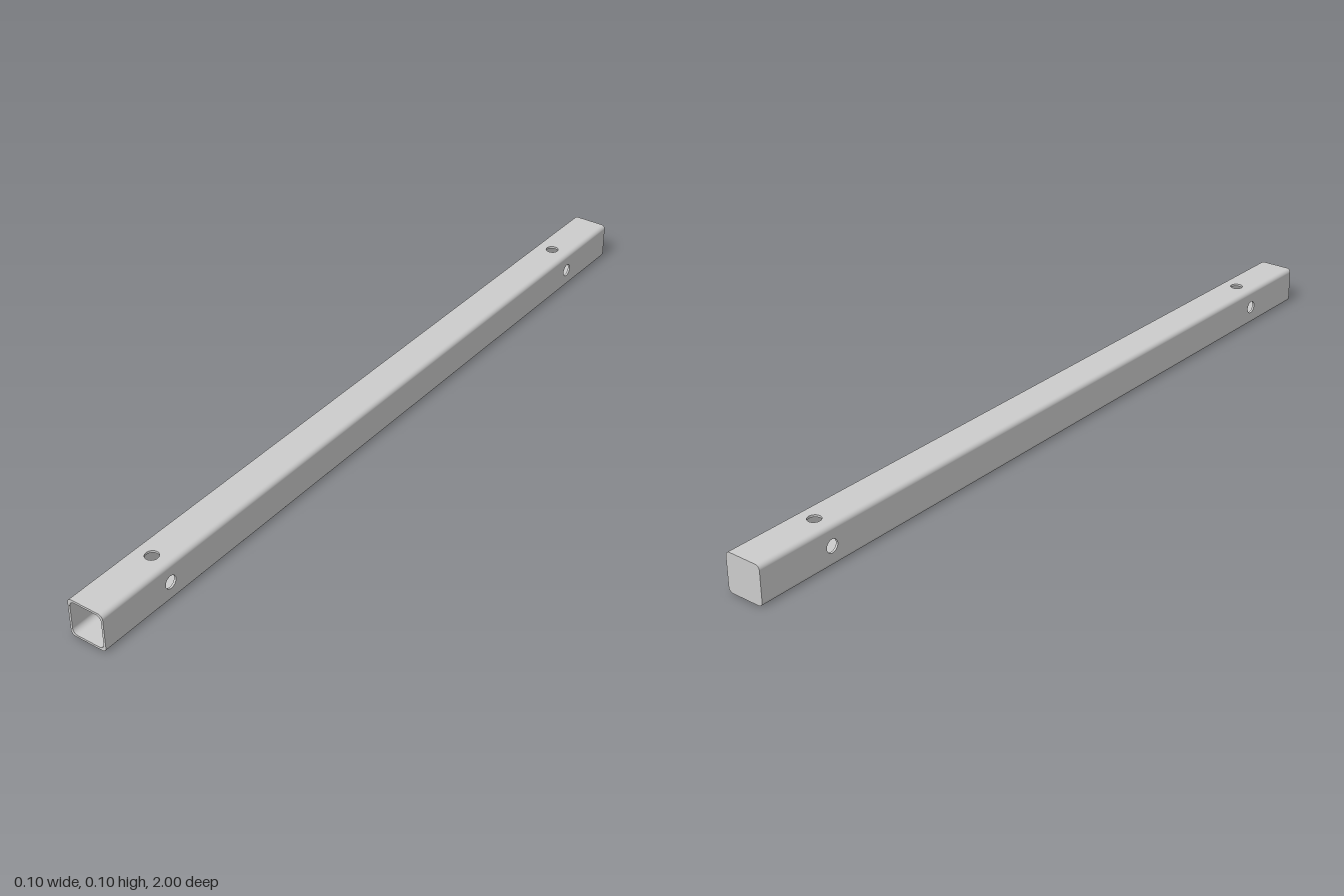
import * as THREE from 'three';

const HALF = 0.048, WALL = 0.0055, LENGTH = 2;
const OUTER_R = 0.011, INNER_R = 0.013;
const HOLE_R = 0.016, HOLE_Z = [-0.8, 0.8];
const INNER = HALF - WALL;

const material = new THREE.MeshStandardMaterial({ color: 0xcccccc, side: THREE.DoubleSide });

function add(parent, geometry, name) {
  const mesh = new THREE.Mesh(geometry, material);
  mesh.name = name;
  parent.add(mesh);
  return mesh;
}

// Rounded square outline centred on the tube axis
function roundedSquare(h, r) {
  const s = new THREE.Shape(), c = h - r;
  s.absarc(c, c, r, 0, Math.PI / 2);
  s.absarc(-c, c, r, Math.PI / 2, Math.PI);
  s.absarc(-c, -c, r, Math.PI, Math.PI * 1.5);
  s.absarc(c, -c, r, Math.PI * 1.5, Math.PI * 2);
  s.closePath();
  return s;
}

// One skin of the tube: four drilled flats and four rounded corners
function tubeSkin(name, h, r, zBack, zFront, inward) {
  const skin = new THREE.Group();
  skin.name = name;
  const c = h - r, length = zFront - zBack;

  const flat = new THREE.Shape();
  flat.moveTo(-c, -zFront).lineTo(c, -zFront).lineTo(c, -zBack).lineTo(-c, -zBack).closePath();
  for (const z of HOLE_Z) flat.holes.push(new THREE.Path().absarc(0, -z, HOLE_R, 0, Math.PI * 2, true));
  const flatGeo = new THREE.ShapeGeometry(flat, 16).rotateX(-Math.PI / 2);
  if (inward) flatGeo.rotateZ(Math.PI);
  flatGeo.translate(0, inward ? -h : h, 0);

  const cornerGeo = new THREE.CylinderGeometry(r, r, length, 8, 1, true, 0, Math.PI / 2)
    .rotateX(Math.PI / 2).rotateZ(Math.PI / 2)
    .translate(c, c, (zFront + zBack) / 2);

  for (let i = 0; i < 4; i++) {
    add(skin, flatGeo, name + 'Flat').rotation.z = i * Math.PI / 2;
    add(skin, cornerGeo, name + 'Corner').rotation.z = i * Math.PI / 2;
  }
  return skin;
}

export function createModel() {
  const model = new THREE.Group();
  model.name = 'squareTube';
  const tube = new THREE.Group();
  tube.name = 'tube';
  tube.position.y = HALF;
  model.add(tube);

  const front = LENGTH / 2, back = -LENGTH / 2;
  tube.add(tubeSkin('outerWall', HALF, OUTER_R, back, front, false));
  tube.add(tubeSkin('innerWall', INNER, INNER_R, back + WALL, front, true));

  // Open front rim
  const rim = roundedSquare(HALF, OUTER_R);
  rim.holes.push(roundedSquare(INNER, INNER_R));
  add(tube, new THREE.ShapeGeometry(rim, 8).translate(0, 0, front), 'frontRim');

  // Closed back end, outside and inside faces
  add(tube, new THREE.ShapeGeometry(roundedSquare(HALF, OUTER_R), 8)
    .rotateY(Math.PI).translate(0, 0, back), 'backCap');
  add(tube, new THREE.ShapeGeometry(roundedSquare(INNER, INNER_R), 8)
    .translate(0, 0, back + WALL), 'backCapInside');

  // Bore of each bolt hole through the wall thickness
  for (const z of HOLE_Z) {
    for (let i = 0; i < 4; i++) {
      const bore = new THREE.CylinderGeometry(HOLE_R, HOLE_R, WALL, 32, 1, true)
        .translate(0, HALF - WALL / 2, z);
      add(tube, bore, 'boltHole').rotation.z = i * Math.PI / 2;
    }
  }
  return model;
}
